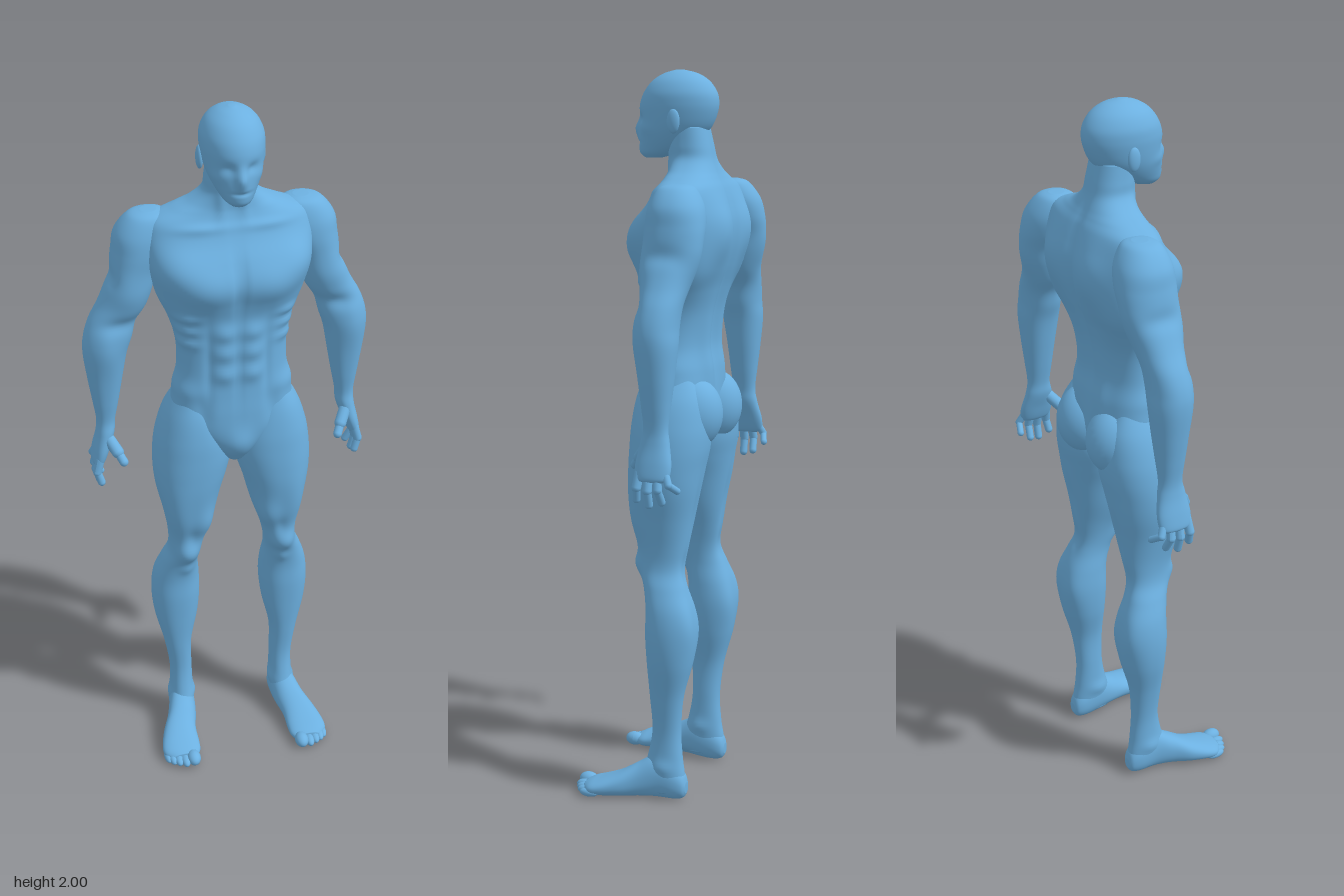
import * as THREE from 'three';

const skin = new THREE.MeshStandardMaterial({ color: 0x6cb0e0 });
skin.name = 'blue skin';

// Catmull-Rom blend of one column of the cross-section table
function blend(rows, f, k) {
  const i = Math.min(Math.floor(f), rows.length - 2), t = f - i;
  const at = j => rows[Math.max(0, Math.min(rows.length - 1, j))][k];
  const a = at(i - 1), b = at(i), c = at(i + 1), d = at(i + 2);
  return b + 0.5 * t * (c - a + t * (2 * a - 5 * b + 4 * c - d + t * (3 * (b - c) + d - a)));
}

// Loft through rows [t, u0, u1, v0, v1]; bumps [x,y,z, rx,ry,rz, height] swell the surface as muscles
function loft(rows, { place = (t, u, v) => [u, t, v], bumps = [], sides = 72, sub = 7, n = 2.2 } = {}) {
  const pos = [], idx = [], rings = (rows.length - 1) * sub + 1;
  const power = c => Math.sign(c) * Math.abs(c) ** (2 / n);
  for (let r = 0; r < rings; r++) {
    const [t, u0, u1, v0, v1] = [0, 1, 2, 3, 4].map(k => blend(rows, r / sub, k));
    for (let s = 0; s < sides; s++) {
      const a = s / sides * Math.PI * 2;
      pos.push(...place(t, (u0 + u1) / 2 + (u1 - u0) / 2 * power(Math.cos(a)),
        (v0 + v1) / 2 + (v1 - v0) / 2 * power(Math.sin(a))));
      if (r < rings - 1) {
        const p = r * sides + s, q = r * sides + (s + 1) % sides;
        idx.push(p, p + sides, q, q, p + sides, q + sides);
      }
    }
  }
  // End caps
  for (const [row, first] of [[rows[0], 0], [rows[rows.length - 1], (rings - 1) * sides]]) {
    const c = pos.length / 3;
    pos.push(...place(row[0], (row[1] + row[2]) / 2, (row[3] + row[4]) / 2));
    for (let s = 0; s < sides; s++) {
      const p = first + s, q = first + (s + 1) % sides;
      idx.push(...(first ? [p, c, q] : [p, q, c]));
    }
  }
  // Face outward whichever way the sections run
  let volume = 0;
  const v = [0, 1, 2].map(() => new THREE.Vector3());
  for (let i = 0; i < idx.length; i += 3) {
    v.forEach((p, k) => p.fromArray(pos, idx[i + k] * 3));
    volume += v[0].dot(v[1].cross(v[2]));
  }
  const geo = new THREE.BufferGeometry();
  geo.setAttribute('position', new THREE.Float32BufferAttribute(pos, 3));
  geo.setIndex(volume < 0 ? idx.reverse() : idx);
  geo.computeVertexNormals();
  const P = geo.attributes.position, N = geo.attributes.normal;
  for (let i = 0; i < P.count; i++) {
    const x = P.getX(i), y = P.getY(i), z = P.getZ(i);
    let h = 0;
    for (const [bx, by, bz, rx, ry, rz, amount] of bumps)
      h += amount * Math.exp(-(((x - bx) / rx) ** 2) - ((y - by) / ry) ** 2 - ((z - bz) / rz) ** 2);
    P.setXYZ(i, x + N.getX(i) * h, y + N.getY(i) * h, z + N.getZ(i) * h);
  }
  geo.computeVertexNormals();
  return geo;
}

const ball = (x, y, z, rx, ry, rz) => new THREE.SphereGeometry(1, 28, 20).scale(rx, ry, rz).translate(x, y, z);

// Rounded finger segment between two points
function segment(a, b, r) {
  const A = new THREE.Vector3(...a), B = new THREE.Vector3(...b), d = B.clone().sub(A);
  const q = new THREE.Quaternion().setFromUnitVectors(new THREE.Vector3(0, 1, 0), d.clone().normalize());
  const m = A.add(B).multiplyScalar(0.5);
  return new THREE.CapsuleGeometry(r, d.length(), 6, 14).applyQuaternion(q).translate(m.x, m.y, m.z);
}

function mirror(geo) {
  const g = geo.clone().scale(-1, 1, 1);
  g.setIndex(Array.from(geo.index.array).reverse());
  g.computeVertexNormals();
  return g;
}

const bothSides = list => list.flatMap(b => b[0] ? [b, [-b[0], ...b.slice(1)]] : [b]);
const symmetric = rows => rows.map(([y, w, z0, z1]) => [y, -w, w, z0, z1]);

export function createModel() {
  const model = new THREE.Group();
  model.name = 'muscular figure';
  const add = (name, geo) => {
    const mesh = new THREE.Mesh(geo, skin);
    mesh.name = name;
    model.add(mesh);
  };
  const addPair = (name, geo) => {
    add('left ' + name, geo);
    add('right ' + name, mirror(geo));
  };

  // Torso and neck
  const abs = [1.27, 1.335, 1.395].map(y => [0.037, y, 0.06, 0.028, 0.026, 0.05, 0.011]);
  const ribs = [1.36, 1.4, 1.44].map(y => [0.135, y, 0.02, 0.03, 0.014, 0.05, 0.008]);
  add('torso', loft(symmetric([
    [0.98, 0.03, -0.08, 0.03], [1.02, 0.07, -0.12, 0.052], [1.08, 0.14, -0.14, 0.06], [1.14, 0.168, -0.14, 0.06],
    [1.2, 0.162, -0.135, 0.056], [1.27, 0.151, -0.125, 0.053], [1.35, 0.152, -0.135, 0.053], [1.42, 0.168, -0.155, 0.054],
    [1.48, 0.195, -0.175, 0.06], [1.54, 0.212, -0.187, 0.065], [1.6, 0.222, -0.188, 0.05], [1.65, 0.222, -0.178, 0.022],
    [1.69, 0.205, -0.165, 0.0], [1.715, 0.15, -0.152, -0.01], [1.735, 0.105, -0.142, -0.012], [1.765, 0.07, -0.13, -0.01],
    [1.8, 0.064, -0.122, -0.008], [1.85, 0.06, -0.11, -0.01],
  ]), {
    sides: 120, sub: 8, n: 2.4, bumps: bothSides([
      ...abs, ...ribs,
      [0.085, 1.535, 0.06, 0.075, 0.062, 0.07, 0.024],   // chest
      [0.16, 1.58, 0.03, 0.06, 0.05, 0.07, 0.016],
      [0, 1.55, 0.08, 0.012, 0.1, 0.05, -0.012],         // breastbone groove
      [0, 1.3, 0.07, 0.009, 0.12, 0.05, -0.006],
      [0.08, 1.3, 0.06, 0.012, 0.12, 0.05, -0.006],
      [0.1, 1.15, 0.06, 0.02, 0.05, 0.05, -0.008],       // groin crease
      [0, 1.05, 0.06, 0.035, 0.04, 0.05, 0.012],
      [0.09, 1.68, 0.0, 0.07, 0.012, 0.05, 0.007],       // collarbone
      [0.03, 1.74, -0.01, 0.014, 0.06, 0.03, 0.006],     // neck tendon
      [0.09, 1.58, -0.18, 0.06, 0.08, 0.06, 0.018],      // shoulder blade
      [0.15, 1.47, -0.12, 0.05, 0.09, 0.08, 0.012],      // side of back
      [0.05, 1.25, -0.13, 0.03, 0.14, 0.05, 0.012],      // lower back
      [0, 1.45, -0.19, 0.016, 0.25, 0.08, -0.016],       // spine
      [0.14, 1.21, 0, 0.05, 0.03, 0.08, 0.007],          // waist
    ]),
  }));

  // Head
  add('head', loft(symmetric([
    [1.768, 0.022, 0.02, 0.07], [1.78, 0.038, -0.02, 0.083], [1.8, 0.052, -0.065, 0.086], [1.825, 0.065, -0.095, 0.085],
    [1.85, 0.074, -0.118, 0.083], [1.88, 0.08, -0.132, 0.083], [1.91, 0.083, -0.138, 0.081], [1.94, 0.08, -0.133, 0.07],
    [1.97, 0.064, -0.112, 0.047], [1.99, 0.038, -0.08, 0.015], [2.0, 0.008, -0.04, -0.02],
  ]), {
    sides: 80, n: 2, bumps: bothSides([
      [0, 1.845, 0.09, 0.013, 0.026, 0.04, 0.017],       // nose
      [0.032, 1.872, 0.075, 0.018, 0.014, 0.03, -0.008], // eye socket
      [0, 1.808, 0.085, 0.024, 0.005, 0.03, -0.005],     // mouth
      [0.055, 1.845, 0.05, 0.02, 0.016, 0.03, 0.003],    // cheek
    ]),
  }));
  addPair('ear', ball(0.081, 1.865, -0.042, 0.01, 0.032, 0.018));

  // Shoulder, arm and palm
  addPair('arm', loft([
    [1.707, 0.185, 0.225, -0.125, -0.085], [1.695, 0.155, 0.262, -0.152, -0.055], [1.65, 0.15, 0.297, -0.18, -0.036],
    [1.6, 0.165, 0.306, -0.188, -0.03], [1.55, 0.188, 0.314, -0.182, -0.032], [1.5, 0.2, 0.328, -0.172, -0.036],
    [1.45, 0.218, 0.35, -0.162, -0.042], [1.4, 0.248, 0.378, -0.155, -0.045], [1.35, 0.262, 0.394, -0.152, -0.042],
    [1.3, 0.278, 0.397, -0.153, -0.043], [1.22, 0.293, 0.388, -0.146, -0.052], [1.15, 0.306, 0.378, -0.138, -0.06],
    [1.09, 0.318, 0.37, -0.132, -0.066], [1.05, 0.322, 0.373, -0.138, -0.058], [1.0, 0.338, 0.384, -0.148, -0.05],
    [0.965, 0.352, 0.39, -0.146, -0.052], [0.955, 0.36, 0.386, -0.135, -0.06],
  ], {
    bumps: [
      [0.27, 1.48, -0.04, 0.05, 0.06, 0.04, 0.01],       // biceps
      [0.26, 1.52, -0.18, 0.04, 0.07, 0.04, 0.009],      // triceps
      [0.32, 1.53, -0.1, 0.02, 0.025, 0.08, -0.008],     // below deltoid
      [0.3, 1.4, -0.04, 0.05, 0.02, 0.04, -0.008],       // elbow crease
      [0.34, 1.33, -0.04, 0.03, 0.07, 0.04, 0.006],      // forearm
      [0.35, 1.02, -0.1, 0.02, 0.03, 0.03, -0.003],
    ],
  }));

  // Fingers as [knuckle z, tip x, tip y, tip z, radius]
  const fingers = [[-0.063, 0.37, 0.905, -0.055, 0.0125], [-0.088, 0.37, 0.892, -0.09, 0.0125],
    [-0.113, 0.362, 0.9, -0.122, 0.012], [-0.136, 0.35, 0.93, -0.16, 0.0105]];
  fingers.forEach(([z, tx, ty, tz, r], i) => {
    const mid = [0.38, (0.97 + ty) / 2, (z + tz) / 2];
    addPair(`finger ${i + 1} base`, segment([0.37, 0.975, z], mid, r));
    addPair(`finger ${i + 1} tip`, segment(mid, [tx, ty, tz], r * 0.88));
  });
  addPair('thumb base', segment([0.345, 1.04, -0.075], [0.322, 1.005, -0.045], 0.017));
  addPair('thumb tip', segment([0.322, 1.005, -0.045], [0.309, 0.982, -0.026], 0.0125));

  // Legs and buttocks
  addPair('leg', loft([
    [1.2, 0.09, 0.145, -0.1, 0.02], [1.13, 0.04, 0.188, -0.14, 0.045], [1.06, 0.008, 0.212, -0.155, 0.058],
    [1.0, 0.002, 0.222, -0.155, 0.062], [0.94, 0.015, 0.224, -0.145, 0.063], [0.88, 0.034, 0.218, -0.135, 0.06],
    [0.8, 0.055, 0.2, -0.12, 0.048], [0.72, 0.082, 0.187, -0.108, 0.034], [0.66, 0.096, 0.188, -0.102, 0.028],
    [0.61, 0.101, 0.208, -0.113, 0.01], [0.55, 0.096, 0.228, -0.13, 0], [0.48, 0.094, 0.235, -0.138, 0],
    [0.4, 0.102, 0.228, -0.13, -0.004], [0.3, 0.123, 0.205, -0.105, -0.01], [0.2, 0.124, 0.19, -0.095, -0.014],
    [0.12, 0.123, 0.191, -0.1, 0], [0.06, 0.124, 0.194, -0.108, 0.02], [0.02, 0.13, 0.19, -0.1, 0.02],
  ], {
    bumps: [
      [0.09, 0.77, 0.04, 0.03, 0.05, 0.05, 0.012],       // inner thigh
      [0.175, 0.8, 0.04, 0.035, 0.08, 0.05, 0.01],       // outer thigh
      [0.13, 0.73, 0.04, 0.02, 0.03, 0.03, -0.006],
      [0.142, 0.67, 0.03, 0.028, 0.032, 0.03, 0.013],    // kneecap
      [0.142, 0.6, 0.01, 0.02, 0.02, 0.03, 0.006],
      [0.12, 0.5, -0.13, 0.03, 0.07, 0.04, 0.008],       // calf
      [0.2, 0.52, -0.13, 0.03, 0.07, 0.04, 0.008],
      [0.142, 0.66, -0.11, 0.02, 0.05, 0.03, -0.008],    // back of knee
      [0.125, 0.8, -0.12, 0.012, 0.1, 0.04, -0.006],     // hamstring split
      [0.125, 0.105, -0.04, 0.02, 0.02, 0.03, 0.007],    // ankle
      [0.19, 0.095, -0.05, 0.02, 0.02, 0.03, 0.007],
    ],
  }));
  addPair('buttock', ball(0.078, 1.085, -0.095, 0.082, 0.1, 0.087));

  // Feet and toes
  addPair('foot', loft([
    [-0.114, 0.145, 0.172, 0.02, 0.05], [-0.105, 0.133, 0.183, 0.006, 0.075], [-0.08, 0.125, 0.192, 0, 0.1],
    [-0.03, 0.122, 0.2, 0, 0.125], [0.02, 0.127, 0.215, 0, 0.1], [0.07, 0.138, 0.238, 0, 0.072],
    [0.12, 0.139, 0.252, 0, 0.052], [0.15, 0.142, 0.25, 0, 0.042], [0.172, 0.155, 0.228, 0.004, 0.032],
  ], {
    place: (t, u, v) => [u, v, t], sides: 48,
    bumps: [[0.13, 0, 0.02, 0.03, 0.025, 0.05, -0.008]], // arch
  }));
  [[0.168, 0.18, 0.02], [0.193, 0.178, 0.014], [0.212, 0.169, 0.0135], [0.228, 0.16, 0.013], [0.241, 0.148, 0.012]]
    .forEach(([x, z, r], i) => addPair(`toe ${i + 1}`, ball(x, r + 0.001, z, r, r, 0.028)));

  return model;
}
